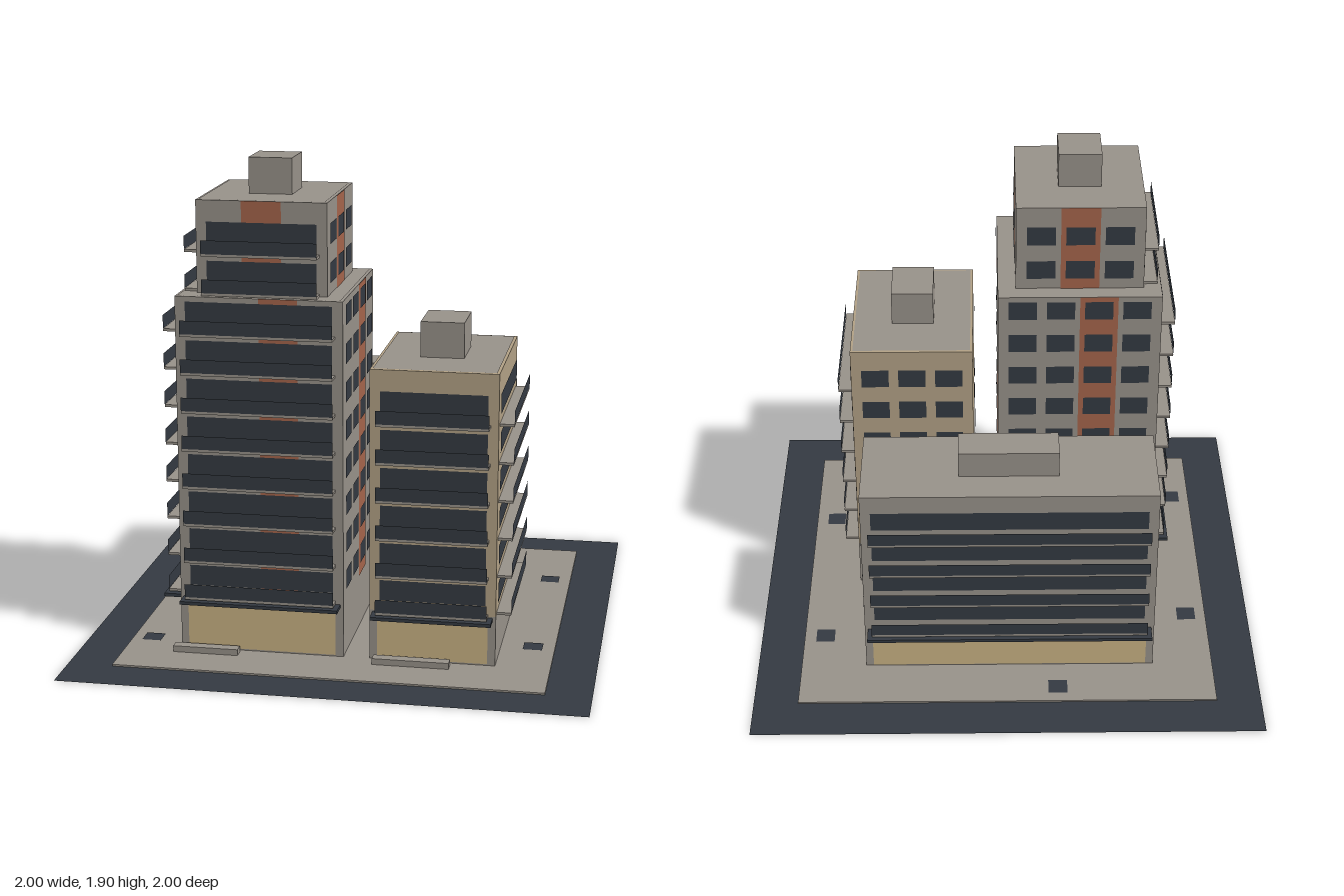
import * as THREE from 'three';

const mat = (name, color, side = THREE.FrontSide) => {
  const m = new THREE.MeshStandardMaterial({ color, side });
  m.name = name;
  return m;
};
const concrete = mat('concrete', 0x98928a);
const tan = mat('tanRender', 0xb3a286);
const shopGlass = mat('warmShopGlass', 0xcab384);
const rust = mat('rustPanel', 0xa5654b);
const dark = mat('darkGlass', 0x343a42, THREE.DoubleSide);

const FLOOR = 0.148;

function add(parent, name, geometry, material, x, y, z) {
  const m = new THREE.Mesh(geometry, material);
  m.name = name;
  m.position.set(x, y, z);
  parent.add(m);
  return m;
}

// Box given by its extents
function block(parent, name, material, [x0, x1], [y0, y1], [z0, z1]) {
  return add(parent, name, new THREE.BoxGeometry(x1 - x0, y1 - y0, z1 - z0), material,
    (x0 + x1) / 2, (y0 + y1) / 2, (z0 + z1) / 2);
}

// Upright panel on a facade: local x runs right, z runs outward
function panel(parent, name, material, x, z, width, y0, y1) {
  return add(parent, name, new THREE.PlaneGeometry(width, y1 - y0), material, x, (y0 + y1) / 2, z);
}

// Flat panel facing up
function flat(parent, name, material, x, y, z, w, d) {
  const m = add(parent, name, new THREE.PlaneGeometry(w, d), material, x, y, z);
  m.rotation.x = -Math.PI / 2;
  return m;
}

// One facade: punched windows or window bands with balconies
function facade(parent, side, w, o) {
  const g = new THREE.Group();
  g.name = side + 'Facade';
  parent.add(g);
  const balconies = o.balconies.includes(side);
  const columns = Math.max(2, Math.floor((w - 0.045) / 0.145));
  const cell = (w - 0.045) / columns;
  const columnX = i => (i - (columns - 1) / 2) * cell;

  if (o.strip) {
    panel(g, 'accentStrip', rust, columnX(Math.floor(columns / 2)), 0.002, cell, o.stripY[0], o.stripY[1]);
  }
  for (let f = 0; f < o.floors; f++) {
    const y = o.firstFloor + f * FLOOR;
    if (balconies) {
      panel(g, 'windowBand', dark, 0, 0.004, w - 0.08, y + 0.04, y + 0.12);
      block(g, 'balconySlab', concrete, [-w / 2 + 0.03, w / 2 - 0.03], [y - 0.004, y + 0.006], [0, 0.055]);
      panel(g, 'balconyRail', dark, 0, 0.0555, w - 0.06, y + 0.006, y + 0.058);
    } else {
      for (let i = 0; i < columns; i++) {
        panel(g, 'window', dark, columnX(i), 0.004, cell * 0.74, y + 0.041, y + 0.119);
      }
    }
  }
  if (o.shops && o.shops.includes(side)) {
    panel(g, 'shopFront', shopGlass, 0, 0.004, w - 0.06, 0.015, o.firstFloor - 0.022);
    block(g, 'canopy', dark, [-w / 2 + 0.012, w / 2 - 0.012],
      [o.firstFloor - 0.021, o.firstFloor - 0.008], [0, 0.07]);
  }
  return g;
}

function building(parent, name, o) {
  const g = new THREE.Group();
  g.name = name;
  parent.add(g);
  const [x0, x1] = o.x, [y0, y1] = o.y, [z0, z1] = o.z;
  const cx = (x0 + x1) / 2, cz = (z0 + z1) / 2;

  if (o.podium) block(g, 'podium', concrete, o.x, [y0, o.podium], o.z);
  block(g, 'body', o.wall || concrete, o.x, [o.podium || y0, y1], o.z);
  flat(g, 'roofDeck', concrete, cx, y1 + 0.002, cz, x1 - x0 - 0.02, z1 - z0 - 0.02);
  if (o.plant) block(g, 'roofPlantRoom', concrete, o.plant[0], o.plant[1], o.plant[2]);

  const sides = [
    ['front', cx, z1, 0, x1 - x0],
    ['left', x1, cz, Math.PI / 2, z1 - z0],
    ['back', cx, z0, Math.PI, x1 - x0],
    ['right', x0, cz, -Math.PI / 2, z1 - z0],
  ];
  for (const [side, x, z, turn, w] of sides) {
    const f = facade(g, side, w, o);
    f.position.set(x, 0, z);
    f.rotation.y = turn;
  }
}

export function createModel() {
  const model = new THREE.Group();
  model.name = 'apartmentBlocks';

  // Street, pavement and planting pits
  flat(model, 'street', dark, 0, 0, 0, 2, 2);
  block(model, 'pavement', concrete, [-0.825, 0.825], [0.001, 0.008], [-0.825, 0.825]);
  for (const [x, z] of [[-0.2, -0.745], [0.74, -0.425], [0.74, 0.37], [-0.745, -0.3], [-0.745, 0.52]]) {
    flat(model, 'plantingPit', dark, x, 0.011, z, 0.075, 0.075);
  }

  // Low benches
  block(model, 'bench', concrete, [-0.63, -0.375], [0.008, 0.032], [0.615, 0.657]);
  block(model, 'bench', concrete, [0.15, 0.445], [0.008, 0.032], [0.615, 0.657]);
  block(model, 'bench', concrete, [-0.1, 0.2], [0.008, 0.032], [-0.158, -0.1]);

  // Tall tower with a set-back top
  building(model, 'tallTowerBase', {
    x: [-0.61, 0.03], y: [0.008, 1.402], z: [-0.068, 0.597],
    floors: 8, firstFloor: 0.227, strip: true, stripY: [0.22, 1.402],
    balconies: ['front', 'right'], shops: ['front', 'right'],
  });
  building(model, 'tallTowerTop', {
    x: [-0.54, -0.04], y: [1.402, 1.757], z: [0, 0.53],
    floors: 2, firstFloor: 1.408, strip: true, stripY: [1.404, 1.757],
    balconies: ['front', 'right'],
    plant: [[-0.375, -0.207], [1.757, 1.897], [0.172, 0.357]],
  });

  // Tan tower
  building(model, 'tanTower', {
    x: [0.13, 0.615], y: [0.008, 1.15], z: [-0.06, 0.592], wall: tan, podium: 0.205,
    floors: 6, firstFloor: 0.208,
    balconies: ['front', 'left'], shops: ['front'],
    plant: [[0.288, 0.456], [1.15, 1.29], [0.155, 0.372]],
  });

  // Long low block at the back
  building(model, 'rearBlock', {
    x: [-0.585, 0.565], y: [0.008, 0.842], z: [-0.607, -0.2],
    floors: 4, firstFloor: 0.205,
    balconies: ['back'], shops: ['back'],
    plant: [[-0.203, 0.187], [0.842, 0.95], [-0.475, -0.335]],
  });

  return model;
}
